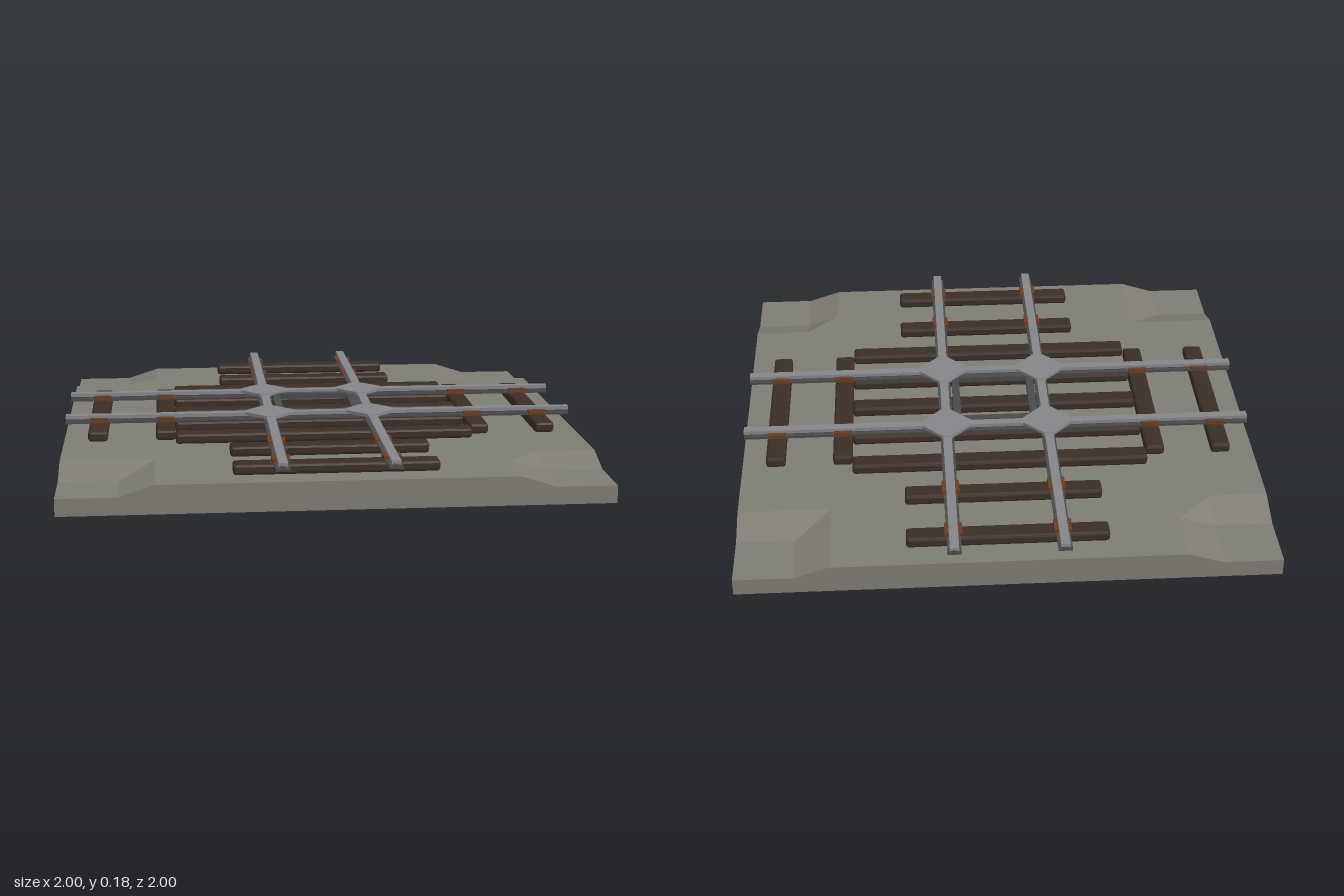
import * as THREE from 'three';
import { RoundedBoxGeometry } from 'three/addons/geometries/RoundedBoxGeometry.js';

const mat = (color) => new THREE.MeshStandardMaterial({ color, flatShading: true });
const GROUND = mat(0x7f7d73), WOOD = mat(0x3b2e26), RUST = mat(0x6a3c22);
const STEEL = mat(0x85868a), DARK = mat(0x4a4a4a);

export function createModel() {
  const group = new THREE.Group();
  const add = (name, geometry, material, x = 0, y = 0, z = 0, turned = false) => {
    const mesh = new THREE.Mesh(geometry, material);
    mesh.name = name;
    mesh.position.set(x, y, z);
    if (turned) mesh.rotation.y = Math.PI / 2;
    group.add(mesh);
  };

  // Ground slab: uneven grid whose four corners drop to a lower level
  const steps = [-1, -0.78, -0.65, 0.65, 0.78, 1];
  const slab = new THREE.BoxGeometry(5, 1, 5, 5, 1, 5);
  const p = slab.attributes.position;
  for (let i = 0; i < p.count; i++) {
    const x = steps[Math.round(p.getX(i) + 2.5)];
    const z = steps[Math.round(p.getZ(i) + 2.5)];
    const low = Math.abs(x) > 0.7 && Math.abs(z) > 0.7;
    p.setXYZ(i, x, p.getY(i) < 0 ? 0 : low ? 0.065 : 0.107, z);
  }
  slab.computeVertexNormals();
  add('ground', slab, GROUND);

  // Sleepers: short ones on each arm, long ones under the crossing
  const shortSleeper = new RoundedBoxGeometry(0.745, 0.04, 0.075, 1, 0.01);
  const longSleeper = new RoundedBoxGeometry(1.145, 0.04, 0.075, 1, 0.01);
  const plate = new THREE.BoxGeometry(0.065, 0.022, 0.07);
  for (const d of [-0.87, -0.61, 0.61, 0.87]) {
    add('sleeper', shortSleeper, WOOD, 0, 0.128, d);
    add('sleeper', shortSleeper, WOOD, d, 0.128, 0, true);
    // Rusty plates where the rails rest
    for (const s of [-0.2, 0.2]) {
      add('railPlate', plate, RUST, s, 0.155, d);
      add('railPlate', plate, RUST, d, 0.155, s, true);
    }
  }
  for (const z of [-0.4, -0.2, 0, 0.2, 0.4]) add('longSleeper', longSleeper, WOOD, 0, 0.128, z);

  // Rails: wide dark foot with a lighter head
  const foot = new THREE.BoxGeometry(2, 0.01, 0.052);
  const web = new THREE.BoxGeometry(2, 0.012, 0.022);
  const head = new THREE.BoxGeometry(2, 0.014, 0.034);
  for (const s of [-0.2, 0.2]) {
    for (const turned of [false, true]) {
      const x = turned ? s : 0, z = turned ? 0 : s;
      add('railFoot', foot, DARK, x, 0.15, z, turned);
      add('railWeb', web, DARK, x, 0.159, z, turned);
      add('railHead', head, STEEL, x, 0.169, z, turned);
    }
  }

  // Diamond plates on the four crossings, with blunted points
  const a = 0.095, b = 0.018;
  const diamond = new THREE.Shape([[a, -b], [a, b], [b, a], [-b, a], [-a, b], [-a, -b], [-b, -a], [b, -a]]
    .map(([x, y]) => new THREE.Vector2(x, y)));
  const diamondGeo = new THREE.ExtrudeGeometry(diamond, { depth: 0.012, bevelEnabled: false });
  diamondGeo.rotateX(-Math.PI / 2);
  for (const x of [-0.2, 0.2]) for (const z of [-0.2, 0.2]) add('crossingPlate', diamondGeo, STEEL, x, 0.166, z);

  // Inner guard rail: square frame between the crossings
  const square = (r) => [[-r, -r], [r, -r], [r, r], [-r, r]].map(([x, y]) => new THREE.Vector2(x, y));
  const frame = new THREE.Shape(square(0.168));
  frame.holes.push(new THREE.Path(square(0.138)));
  const frameGeo = new THREE.ExtrudeGeometry(frame, { depth: 0.022, bevelEnabled: false });
  frameGeo.rotateX(-Math.PI / 2);
  add('guardRail', frameGeo, DARK, 0, 0.147, 0);

  return group;
}
